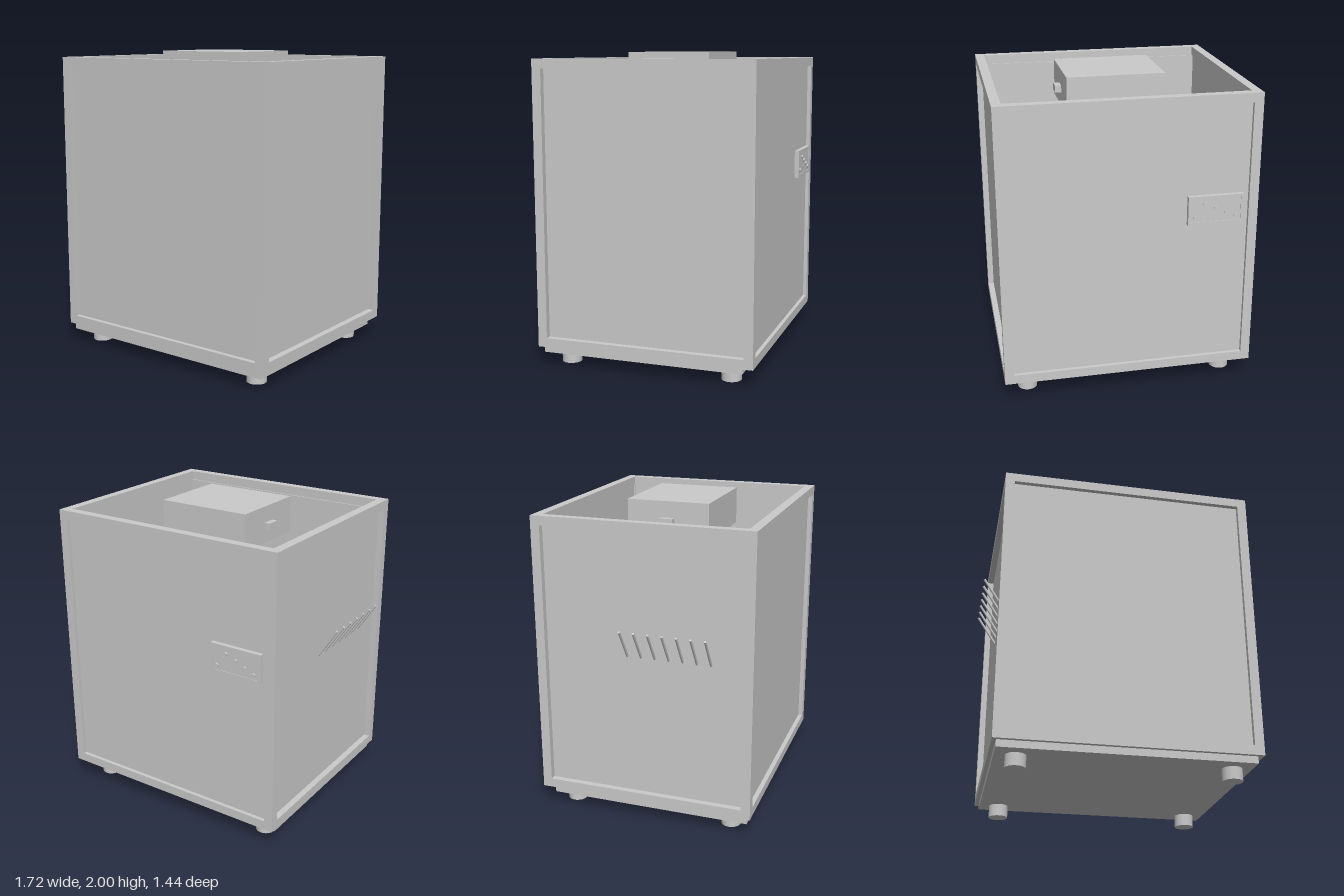
import * as THREE from 'three';

const grey = new THREE.MeshStandardMaterial({ color: 0xcacaca });
grey.name = 'light grey';

// Outer limits of the cabinet frame and the bar thickness
const X0 = -0.775, X1 = 0.86, Y0 = 0.125, Y1 = 1.96, Z0 = -0.71, Z1 = 0.715, T = 0.06;
const CX = (X0 + X1) / 2;

export function createModel() {
  const model = new THREE.Group();
  model.name = 'cabinet';

  const add = (name, geometry, x = 0, y = 0, z = 0) => {
    const mesh = new THREE.Mesh(geometry, grey);
    mesh.name = name;
    mesh.position.set(x, y, z);
    model.add(mesh);
    return mesh;
  };
  // Box given by its limits on each axis
  const box = (name, x0, x1, y0, y1, z0, z1) =>
    add(name, new THREE.BoxGeometry(x1 - x0, y1 - y0, z1 - z0),
      (x0 + x1) / 2, (y0 + y1) / 2, (z0 + z1) / 2);
  const disc = (name, r, h, x, y, z, n = 48) =>
    add(name, new THREE.CylinderGeometry(r, r, h, n), x, y + h / 2, z);

  // Frame: four posts, then the rails between them at the top and bottom
  for (const x of [X0, X1 - T])
    for (const z of [Z0, Z1 - T]) box('cornerPost', x, x + T, Y0, Y1, z, z + T);
  for (const y of [Y0, Y1 - T]) {
    for (const z of [Z0, Z1 - T]) box('crossRail', X0 + T, X1 - T, y, y + T, z, z + T);
    for (const x of [X0, X1 - T]) box('sideRail', x, x + T, y, y + T, Z0 + T, Z1 - T);
  }

  // Recessed wall panels
  const a = X0 + T, b = X1 - T, lo = Y0 + T, hi = Y1 - T;
  box('frontPanel', a, b, lo, hi, Z1 - 0.07, Z1 - 0.03);
  box('backPanel', a, b, lo, hi, Z0 + 0.025, Z0 + 0.05);
  box('rightPanel', X0 + 0.04, X0 + 0.05, lo, hi, Z0 + T, Z1 - T);
  box('leftPanel', X1 - 0.05, X1 - 0.04, lo, hi, Z0 + T, Z1 - T);

  // Base plate, inner floor and feet
  box('basePlate', -0.75, 0.825, 0.08, Y0, -0.635, 0.69);
  box('floor', a, b, Y0, 0.17, Z0 + T, Z1 - T);
  box('floorTray', -0.675, 0.76, 0.17, 0.2, -0.585, 0.59);
  for (let i = 0; i < 10; i++) {
    const x = -0.57 + i * 0.139;
    box('trayTab', x - 0.025, x + 0.025, 0.17, 0.2, -0.594, -0.585);
  }
  for (const x of [-0.621, 0.701])
    for (const z of [-0.533, 0.554]) disc('foot', 0.064, 0.08, x, 0, z, 32);

  // Round mount with bolts, carrying the column
  disc('mountRing', 0.41, 0.03, CX, 0.2, 0);
  disc('mountPlate', 0.36, 0.03, CX, 0.23, 0);
  for (const x of [-0.073, 0.073])
    for (const z of [-0.32, 0.325]) disc('bolt', 0.018, 0.015, CX + x, 0.26, z, 16);
  box('column', CX - 0.08, CX + 0.08, 0.26, 1.76, -0.095, 0.095);

  // Head unit with a stub on each side
  box('head', -0.275, 0.36, 1.76, 2, -0.27, 0.275);
  box('headStub', -0.315, -0.275, 1.85, 1.895, -0.045, 0.045);
  box('headStub', 0.36, 0.4, 1.85, 1.895, -0.045, 0.045);

  // Control panel on the back, with a raised rim and five buttons
  const rim = new THREE.Shape([[-0.18, -0.095], [0.18, -0.095], [0.18, 0.095], [-0.18, 0.095]]
    .map(([x, y]) => new THREE.Vector2(x, y)));
  rim.holes.push(new THREE.Path([[-0.16, -0.075], [-0.16, 0.075], [0.16, 0.075], [0.16, -0.075]]
    .map(([x, y]) => new THREE.Vector2(x, y))));
  add('controlRim', new THREE.ExtrudeGeometry(rim, { depth: 0.03, bevelEnabled: false }),
    -0.5, 1.225, -0.716);
  box('controlPlate', -0.66, -0.34, 1.15, 1.3, -0.712, -0.686);
  [[-0.365, 1.18], [-0.43, 1.267], [-0.5, 1.238], [-0.565, 1.207], [-0.63, 1.18]].forEach(([x, y]) => {
    const button = add('button', new THREE.CylinderGeometry(0.013, 0.013, 0.012, 20), x, y, -0.716);
    button.rotation.x = Math.PI / 2;
  });

  // Sloping rods passing through the right wall
  const from = new THREE.Vector2(-0.857, 1.302), to = new THREE.Vector2(-0.685, 1.039);
  const length = from.distanceTo(to);
  for (let i = 0; i < 7; i++) {
    const rod = add('ventRod', new THREE.CylinderGeometry(0.008, 0.008, length, 12),
      (from.x + to.x) / 2, (from.y + to.y) / 2, -0.105 + i * 0.0908);
    rod.rotation.z = Math.atan2(to.x - from.x, from.y - to.y);
  }

  return model;
}
